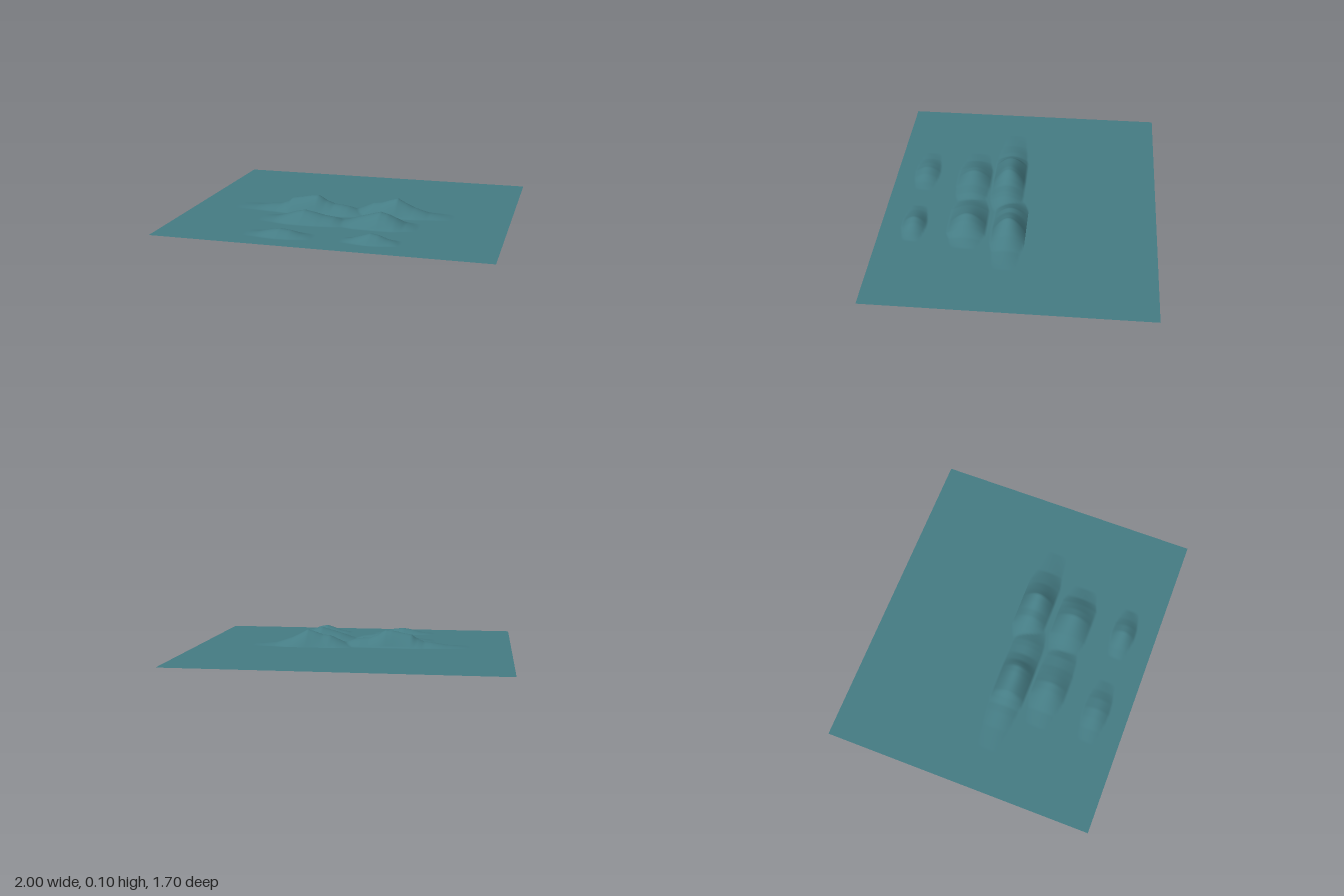
import * as THREE from 'three';

// Each hill: ridge line as [x, height] points, centre z and half width
const backHills = [
  { z: 0.1, w: 0.105, line: [[-0.74, 0], [-0.6, 0.01], [-0.5, 0.026], [-0.45, 0.03], [-0.4, 0.05], [-0.37, 0.074], [-0.3, 0.086], [-0.24, 0.098], [-0.2, 0.1], [-0.18, 0.09], [-0.15, 0.07], [-0.1, 0.05], [-0.04, 0.045], [0, 0.038], [0.05, 0.022], [0.12, 0]] },
  { z: 0.055, w: 0.105, line: [[0, 0], [0.05, 0.02], [0.1, 0.042], [0.15, 0.065], [0.2, 0.07], [0.25, 0.088], [0.3, 0.102], [0.34, 0.08], [0.4, 0.05], [0.5, 0.016], [0.65, 0]] },
  { z: 0.33, w: 0.11, line: [[-0.5, 0], [-0.4, 0.012], [-0.33, 0.035], [-0.27, 0.055], [-0.22, 0.065], [-0.17, 0.055], [-0.1, 0.038], [-0.03, 0.028], [0.06, 0]] },
  { z: 0.315, w: 0.118, line: [[-0.02, 0], [0.05, 0.02], [0.12, 0.045], [0.18, 0.062], [0.25, 0.082], [0.3, 0.068], [0.35, 0.045], [0.4, 0.018], [0.48, 0]] },
];
const frontHills = [
  { z: 0.65, w: 0.085, line: [[-0.48, 0], [-0.4, 0.01], [-0.33, 0.028], [-0.27, 0.038], [-0.2, 0.03], [-0.14, 0.012], [-0.07, 0]] },
  { z: 0.645, w: 0.075, line: [[0.1, 0], [0.16, 0.014], [0.22, 0.034], [0.27, 0.05], [0.32, 0.04], [0.37, 0.02], [0.44, 0]] },
];

function ridgeHeight(line, x) {
  for (let i = 1; i < line.length; i++) {
    const [x0, h0] = line[i - 1], [x1, h1] = line[i];
    if (x >= x0 && x <= x1) return THREE.MathUtils.lerp(h0, h1, (x - x0) / (x1 - x0));
  }
  return 0;
}

// Rounded cross-section that narrows as the ridge runs down
function hillHeight(hill, x, z) {
  const h = ridgeHeight(hill.line, x);
  const half = hill.w * (0.55 + 0.45 * Math.min(1, Math.sqrt(h / 0.045)));
  const u = Math.abs(z - hill.z) / half;
  return u < 1 ? h * Math.cos(u * Math.PI / 2) : 0;
}

// Rectangular strip of ground raised by its hills
function makeStrip(name, area, hills, material) {
  const { x0, x1, z0, z1 } = area;
  const geo = new THREE.PlaneGeometry(x1 - x0, z1 - z0, 180, Math.round((z1 - z0) * 130));
  geo.rotateX(-Math.PI / 2);
  geo.translate((x0 + x1) / 2, 0, (z0 + z1) / 2);
  const p = geo.attributes.position;
  for (let i = 0; i < p.count; i++) {
    const x = p.getX(i), z = p.getZ(i);
    p.setY(i, Math.max(...hills.map((hill) => hillHeight(hill, x, z))));
  }
  geo.computeVertexNormals();
  const mesh = new THREE.Mesh(geo, material);
  mesh.name = name;
  return mesh;
}

// Clockwise or counter-clockwise rectangle in the ground plan (shape y is -z)
function trace(path, { x0, x1, z0, z1 }) {
  path.moveTo(x0, -z0).lineTo(x1, -z0).lineTo(x1, -z1).lineTo(x0, -z1).closePath();
  return path;
}

export function createModel() {
  const group = new THREE.Group();
  group.name = 'terrain';
  const teal = new THREE.MeshStandardMaterial({ color: 0x457c84, side: THREE.DoubleSide });
  teal.name = 'teal';

  const backArea = { x0: -0.9, x1: 0.9, z0: -0.05, z1: 0.46 };
  const frontArea = { x0: -0.9, x1: 0.9, z0: 0.56, z1: 0.76 };

  // Flat ground with openings for the two hilly strips
  const plan = trace(new THREE.Shape(), { x0: -1, x1: 1, z0: -0.85, z1: 0.85 });
  plan.holes.push(trace(new THREE.Path(), backArea), trace(new THREE.Path(), frontArea));
  const ground = new THREE.Mesh(new THREE.ShapeGeometry(plan).rotateX(-Math.PI / 2), teal);
  ground.name = 'flatGround';

  group.add(
    ground,
    makeStrip('backHills', backArea, backHills, teal),
    makeStrip('frontHills', frontArea, frontHills, teal),
  );
  return group;
}
